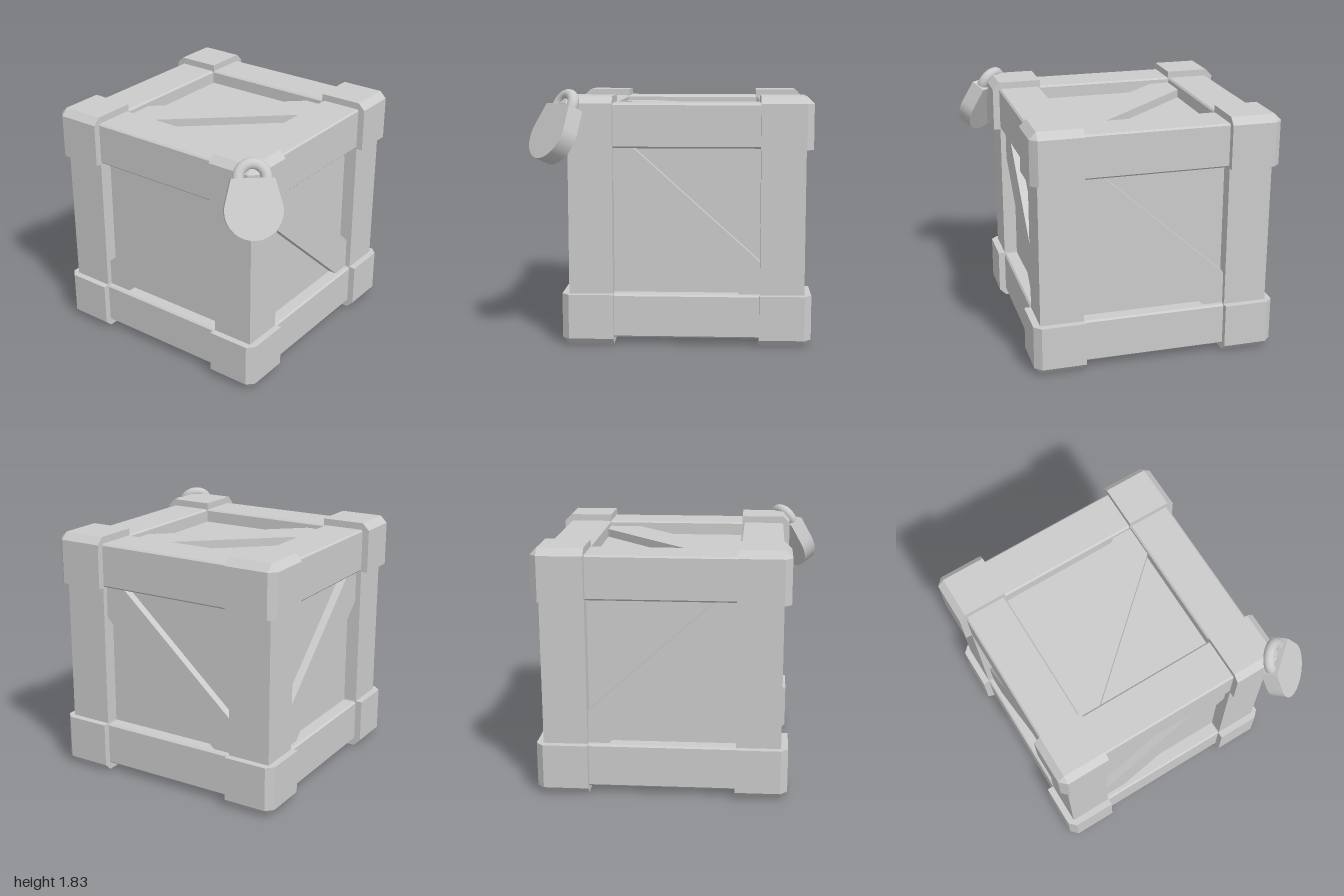
import * as THREE from 'three';
import { toCreasedNormals } from 'three/addons/utils/BufferGeometryUtils.js';
import { ConvexGeometry } from 'three/addons/geometries/ConvexGeometry.js';

const material = new THREE.MeshStandardMaterial({ color: 0xcccccc });
const OUT = 0.89;     // half size over the corner caps
const BEAM = 0.84;    // half size over the beams
const OPEN = 0.525;   // half size of the openings
const PANEL = 0.74;   // half size over the recessed panels

function add(parent, name, geometry, x = 0, y = 0, z = 0) {
  const mesh = new THREE.Mesh(geometry, material);
  mesh.name = name;
  mesh.position.set(x, y, z);
  parent.add(mesh);
  return mesh;
}

function polygon(points) {
  return new THREE.Shape(points.map(([x, y]) => new THREE.Vector2(x, y)));
}

function extrude(shape, depth, curveSegments = 12) {
  const g = new THREE.ExtrudeGeometry(shape, { depth, bevelEnabled: false, curveSegments });
  return g.translate(0, 0, -depth / 2);
}

// Corner block whose three outer edges are chamfered
function capGeometry(sx, sy, sz) {
  const a = 0.52, b = OUT, c = BEAM;
  const points = [
    [a, a, a], [b, a, a], [a, b, a], [a, a, b],
    [b, c, c], [c, b, c], [c, c, b],
    [b, c, a], [c, b, a], [b, a, c], [c, a, b], [a, b, c], [a, c, b],
  ];
  return new ConvexGeometry(points.map(([x, y, z]) => new THREE.Vector3(x * sx, y * sy, z * sz)));
}

// Square bar along z with slightly broken edges
function beamGeometry() {
  const h = (BEAM - OPEN) / 2, k = h - 0.012;
  return extrude(polygon([[h, -k], [h, k], [k, h], [-k, h], [-h, k], [-h, -k], [-k, -h], [k, -h]]), 1.06);
}

// Diagonal board cut to the square opening; shift moves it along y
function braceGeometry(shift = 0) {
  const e = OPEN, slope = 0.9, half = 0.185;
  const lo = shift - half, hi = shift + half;
  const shape = polygon([
    [-e, -e], [(-e - lo) / slope, -e], [e, slope * e + lo],
    [e, e], [(e - hi) / slope, e], [-e, -slope * e + hi],
  ]);
  return extrude(shape, 0.08);
}

function createPadlock() {
  const lock = new THREE.Group();
  lock.name = 'padlock';

  // Body: flat top, tangent sides and a round bottom
  const w = 0.145, drop = 0.215, r = 0.195;
  const t = Math.atan2(drop, w) - Math.acos(r / Math.hypot(w, drop));
  const shape = new THREE.Shape();
  shape.moveTo(-w, 0);
  shape.lineTo(w, 0);
  shape.absarc(0, -drop, r, t, Math.PI - t, true);
  shape.closePath();
  add(lock, 'padlockBody', toCreasedNormals(extrude(shape, 0.12, 24), 0.5));

  // Shackle ring, its lower half sunk in the body
  add(lock, 'shackle', new THREE.TorusGeometry(0.095, 0.04, 14, 32));

  lock.rotation.set(-0.45, 0.71, 0, 'YXZ');
  lock.position.set(0.745, 1.704, 0.744);
  return lock;
}

export function createModel() {
  const model = new THREE.Group();
  model.name = 'lockedCrate';
  const crate = new THREE.Group();
  crate.name = 'crate';
  crate.position.set(-0.11, OUT, -0.11);
  model.add(crate);

  add(crate, 'panels', new THREE.BoxGeometry(PANEL * 2, PANEL * 2, PANEL * 2));

  const mid = (BEAM + OPEN) / 2, size = BEAM - OPEN;
  const beam = beamGeometry();
  const post = new THREE.BoxGeometry(size, 1.06, size);
  for (const s of [-1, 1]) {
    for (const t of [-1, 1]) {
      // Frame
      add(crate, 'sideBeam', beam, s * mid, t * mid, 0);
      add(crate, 'crossBeam', beam, 0, t * mid, s * mid).rotation.y = Math.PI / 2;
      add(crate, 'post', post, s * mid, 0, t * mid);
      // Corner caps
      for (const u of [-1, 1]) add(crate, 'cornerCap', capGeometry(s, t, u));
    }
    // Diagonal braces, one on each face
    const d = s * (PANEL + 0.02);
    add(crate, s > 0 ? 'frontBrace' : 'backBrace', braceGeometry(s > 0 ? -0.035 : 0), 0, 0, d);
    add(crate, 'sideBrace', braceGeometry(), d, 0, 0).rotation.y = -Math.PI / 2;
    add(crate, s > 0 ? 'topBrace' : 'bottomBrace', braceGeometry(), 0, d, 0).rotation.x = -Math.PI / 2;
  }

  model.add(createPadlock());
  return model;
}
